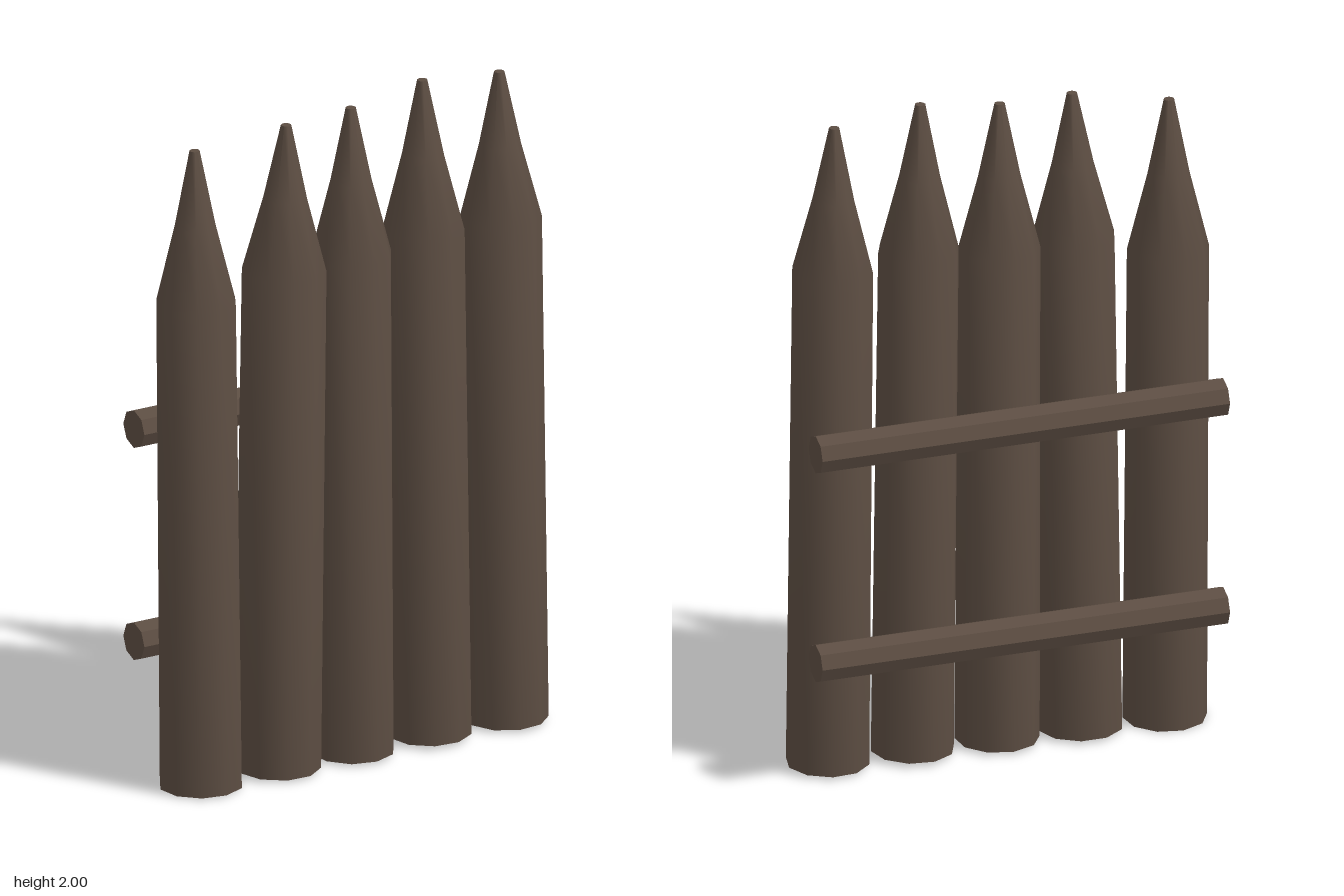
import * as THREE from 'three';
import { toCreasedNormals } from 'three/addons/utils/BufferGeometryUtils.js';

const CREASE = 0.7; // keeps the stake sides soft and the rail facets sharp

export function createModel() {
  const model = new THREE.Group();
  model.name = 'palisade';
  const wood = new THREE.MeshStandardMaterial({ color: 0x5c4d42 });
  wood.name = 'darkWood';

  // Sharpened log leaning slightly from its base centre to its tip
  function addStake({ base, tip, shoulder, radius, yaw }) {
    const from = new THREE.Vector3(...base);
    const axis = new THREE.Vector3(...tip).sub(from);
    const height = axis.length();
    const neck = shoulder - from.y;
    const profile = [
      [0, 0],
      [radius, 0],
      [radius * 0.97, neck],
      [radius * 0.5, neck + (height - neck) * 0.5],
      [0.015, height],
      [0, height],
    ].map(([r, y]) => new THREE.Vector2(r, y));
    const geometry = new THREE.LatheGeometry(profile, 10).rotateY(yaw);
    const stake = new THREE.Mesh(toCreasedNormals(geometry, CREASE), wood);
    stake.name = 'stake';
    stake.position.copy(from);
    stake.quaternion.setFromUnitVectors(new THREE.Vector3(0, 1, 0), axis.normalize());
    model.add(stake);
  }

  [
    { base: [-0.512, 0.003, 0.052], tip: [-0.513, 1.92, 0.02], shoulder: 1.46, radius: 0.122, yaw: 0.1 },
    { base: [-0.255, 0.01, 0.053], tip: [-0.236, 1.96, 0.069], shoulder: 1.52, radius: 0.125, yaw: 0.3 },
    { base: [-0.002, 0.01, 0.052], tip: [-0.011, 1.965, 0.056], shoulder: 1.52, radius: 0.122, yaw: 0.05 },
    { base: [0.256, 0.014, 0.052], tip: [0.233, 2.0, 0.05], shoulder: 1.55, radius: 0.122, yaw: 0.2 },
    { base: [0.514, 0.01, 0.052], tip: [0.499, 1.97, 0.038], shoulder: 1.53, radius: 0.121, yaw: 0.4 },
  ].forEach(addStake);

  // Octagonal cross rails along the back
  const railGeometry = toCreasedNormals(
    new THREE.CylinderGeometry(0.057, 0.057, 1.24, 8).rotateZ(Math.PI / 2), CREASE);
  for (const y of [0.4, 1.045]) {
    const rail = new THREE.Mesh(railGeometry, wood);
    rail.name = 'rail';
    rail.position.set(0, y, -0.136);
    model.add(rail);
  }
  return model;
}
